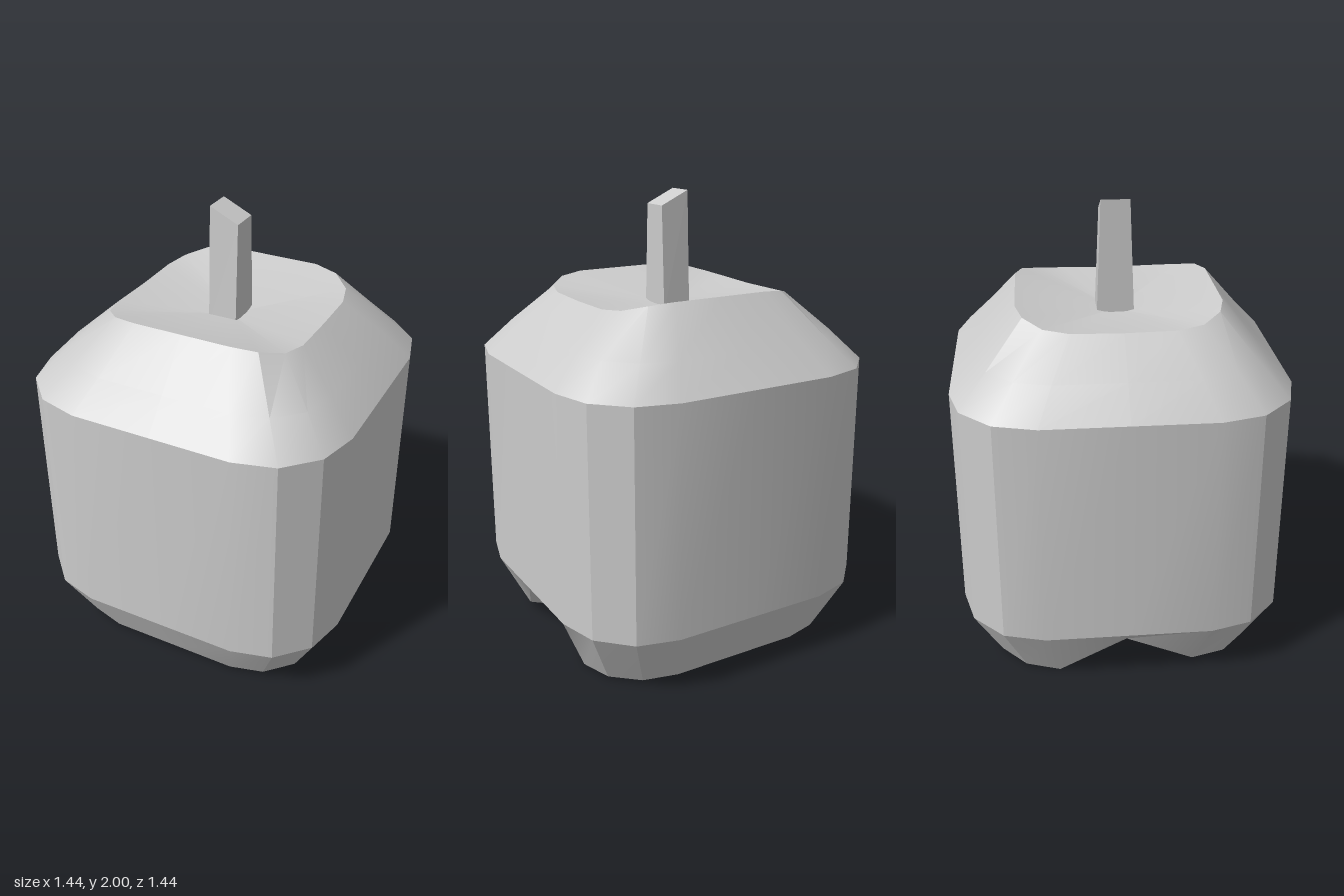
import * as THREE from 'three';
import { toCreasedNormals } from 'three/addons/utils/BufferGeometryUtils.js';

const N = 20;
const material = new THREE.MeshStandardMaterial({ color: 0xcccccc });

// One quarter of the rounded-square outline (x, z), starting mid-side.
const quarter = [[0.72, 0], [0.72, 0.36], [0.672, 0.54], [0.54, 0.672], [0.36, 0.72]];

// Full outline scaled to a ring; height is a rule of |z|.
function ring(scale, height) {
  const points = [];
  for (let turn = 0; turn < 4; turn++) {
    for (const [qx, qz] of quarter) {
      let x = qx * scale, z = qz * scale;
      for (let t = 0; t < turn; t++) [x, z] = [-z, x];
      points.push(new THREE.Vector3(x, height(z), z));
    }
  }
  return points;
}

// Linear interpolation through [position, value] pairs.
function along(stops, v) {
  for (let i = 1; i < stops.length; i++) {
    const [a, ya] = stops[i - 1], [b, yb] = stops[i];
    if (v <= b) return THREE.MathUtils.mapLinear(v, a, b, ya, yb);
  }
  return stops[stops.length - 1][1];
}

function createBody() {
  const grooved = [[-0.6, 0.02], [-0.3, 0.003], [0, 0.155], [0.3, 0.025], [0.6, 0.025]];
  const rim = [[0, 1.553], [0.22, 1.557], [0.33, 1.568], [0.403, 1.59], [0.432, 1.603]];
  const rings = [
    ring(0.833, z => along(grooved, z)),
    ring(1, () => 0.268),
    ring(1, () => 1.28),
    ring(0.833, () => 1.41),
    ring(0.605, z => along(rim, Math.abs(z))),
  ];
  const vertices = [];
  const tri = (...points) => points.forEach(p => vertices.push(p.x, p.y, p.z));

  // Walls between neighbouring rings
  for (let r = 0; r < rings.length - 1; r++) {
    const low = rings[r], high = rings[r + 1];
    for (let i = 0; i < N; i++) {
      const j = (i + 1) % N;
      tri(low[i], high[i], low[j]);
      tri(high[i], high[j], low[j]);
    }
  }

  // Dished top
  const top = rings[rings.length - 1], centre = new THREE.Vector3(0, 1.5, 0);
  for (let i = 0; i < N; i++) tri(centre, top[(i + 1) % N], top[i]);

  // Underside with a groove from side to side, in strips along x
  const at = i => rings[0][(i + N) % N];
  for (let k = -4; k < 4; k++) {
    const a = at(k), b = at(k + 1), aMirror = at(10 - k), bMirror = at(9 - k);
    tri(aMirror, a, b);
    tri(aMirror, b, bMirror);
  }

  const geometry = new THREE.BufferGeometry();
  geometry.setAttribute('position', new THREE.Float32BufferAttribute(vertices, 3));
  const body = new THREE.Mesh(toCreasedNormals(geometry, 0.42), material);
  body.name = 'body';
  return body;
}

// Square stem, tapered in z, with a slanted tip
function createStem() {
  const geometry = new THREE.BoxGeometry(0.128, 1, 0.164).toNonIndexed();
  const p = geometry.attributes.position;
  for (let i = 0; i < p.count; i++) {
    if (p.getY(i) > 0) {
      p.setY(i, p.getX(i) < 0 ? 2 : 1.94);
      p.setZ(i, p.getZ(i) * 0.76);
    } else {
      p.setY(i, 1.48);
    }
  }
  geometry.computeVertexNormals();
  const stem = new THREE.Mesh(geometry, material);
  stem.position.z = -0.003;
  stem.name = 'stem';
  return stem;
}

export function createModel() {
  const group = new THREE.Group();
  group.name = 'fruit';
  group.add(createBody(), createStem());
  return group;
}
